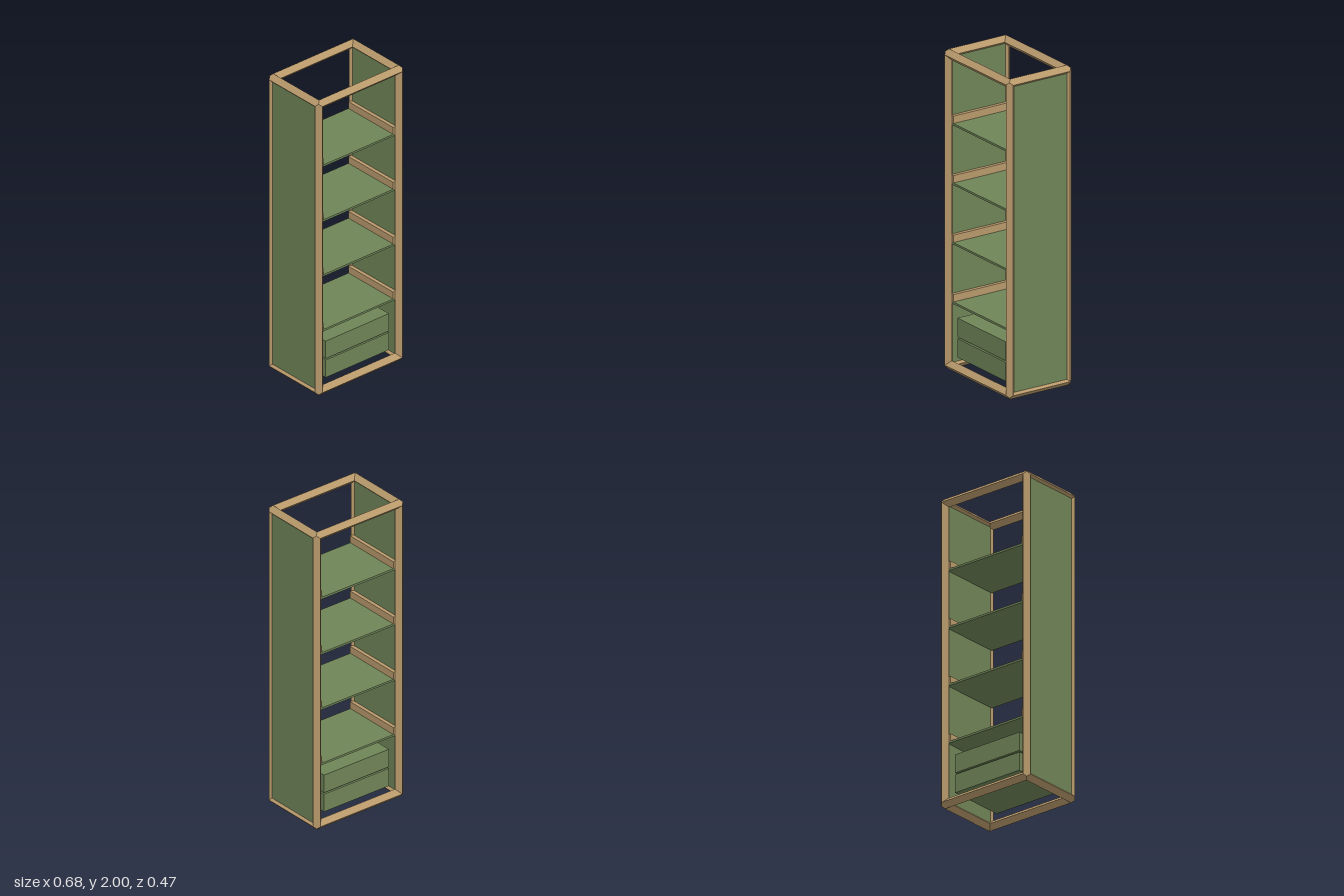
import * as THREE from 'three';

// Shelf unit: frame of 12 diamond-section bars, side panels, shelves on rails, two drawers.
const wood = new THREE.MeshStandardMaterial({ color: 0xb8996b });
const green = new THREE.MeshStandardMaterial({ color: 0x6f8457 });

const R = 0.031;                    // half diagonal of a bar
const H = [0.31, 1 - R, 0.204];     // bar centre lines: half width, height, depth

// Diamond section with facet midpoints: [outward b, outward c, end extension]
const SECTION = [
  [1, 0, 0], [0.5, 0.5, 0.5], [0, 1, 0], [-0.5, 0.5, -0.5],
  [-1, 0, -1], [-0.5, -0.5, -0.5], [0, -1, -1], [0.5, -0.5, -0.5],
];

// Bar along one axis, mitred so that three bars meet cleanly at each corner
function barGeometry(axis, sb, sc) {
  const b = (axis + 1) % 3, c = (axis + 2) % 3;
  const pos = [];
  const point = (i, end) => {
    const [v, w, ext] = SECTION[i % 8];
    const p = [0, 0, 0];
    p[axis] = end * (H[axis] + ext * R);
    p[b] = sb * (H[b] + v * R);
    p[c] = sc * (H[c] + w * R);
    return p;
  };
  for (let i = 0; i < 8; i++) {
    const q = [point(i, -1), point(i + 1, -1), point(i + 1, 1), point(i, 1)];
    if (sb * sc < 0) q.reverse();
    for (const k of [0, 1, 2, 0, 2, 3]) pos.push(...q[k]);
  }
  const g = new THREE.BufferGeometry();
  g.setAttribute('position', new THREE.Float32BufferAttribute(pos, 3));
  g.computeVertexNormals();
  return g;
}

function box(parent, name, material, size, x, y, z) {
  const mesh = new THREE.Mesh(new THREE.BoxGeometry(...size), material);
  mesh.name = name;
  mesh.position.set(x, y, z);
  parent.add(mesh);
}

export function createModel() {
  const model = new THREE.Group();
  model.name = 'shelfUnit';

  // Frame
  const frame = new THREE.Group();
  frame.name = 'frame';
  frame.position.y = 1;
  const names = ['widthRail', 'cornerPost', 'depthRail'];
  for (let axis = 0; axis < 3; axis++)
    for (const sb of [-1, 1])
      for (const sc of [-1, 1]) {
        const bar = new THREE.Mesh(barGeometry(axis, sb, sc), wood);
        bar.name = names[axis];
        frame.add(bar);
      }
  model.add(frame);

  // Side panels set into the frame
  for (const s of [-1, 1])
    box(model, s > 0 ? 'leftPanel' : 'rightPanel', green, [0.034, 1.93, 0.4], s * 0.31, 1, 0);

  // Shelves with a rail at each end
  for (let i = 0; i < 4; i++) {
    const y = 0.43 + i * 0.3715;
    box(model, 'shelf', green, [0.58, 0.013, 0.4], 0, y - 0.0065, 0);
    for (const s of [-1, 1])
      box(model, 'shelfRail', wood, [0.025, 0.046, 0.4], s * 0.2825, y + 0.023, 0);
  }

  // Drawers
  box(model, 'lowerDrawer', green, [0.49, 0.118, 0.38], 0, 0.149, 0);
  box(model, 'upperDrawer', green, [0.49, 0.118, 0.38], 0, 0.277, 0);

  return model;
}
